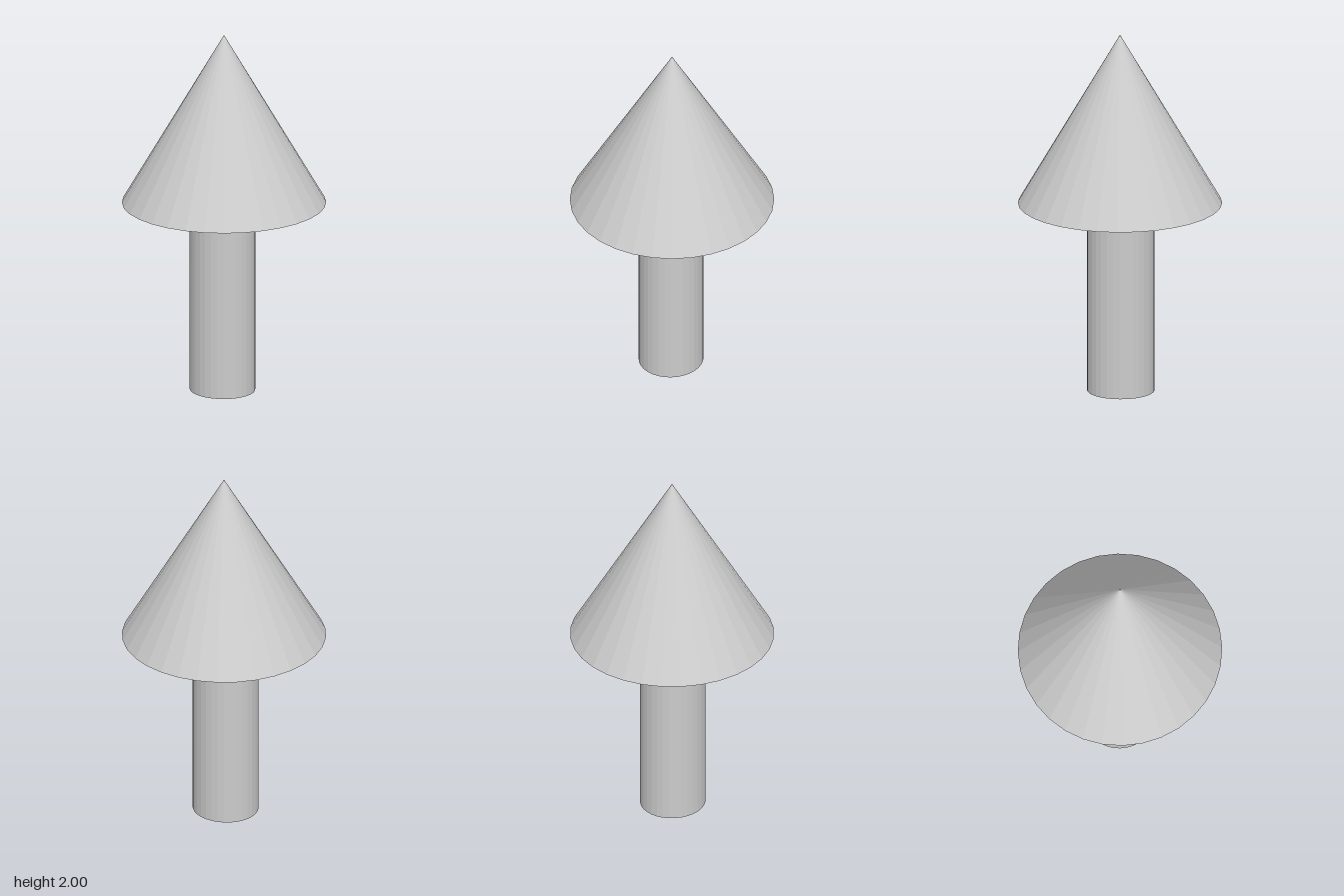
import * as THREE from 'three';

const SIDES = 32;
const BASE_Y = 1.055; // where the stem meets the cone

export function createModel() {
  const group = new THREE.Group();
  const material = new THREE.MeshStandardMaterial({ color: 0xcccccc, flatShading: true });

  // Pointed cap with a closed flat underside
  const capHeight = 2 - BASE_Y;
  const cap = new THREE.Mesh(new THREE.ConeGeometry(0.55, capHeight, SIDES), material);
  cap.name = 'coneCap';
  cap.position.y = BASE_Y + capHeight / 2;
  group.add(cap);

  // Round stem, slightly oval and a touch off centre
  const stem = new THREE.Mesh(new THREE.CylinderGeometry(1, 1, BASE_Y, SIDES), material);
  stem.name = 'stem';
  stem.scale.set(0.174, 1, 0.182);
  stem.position.set(-0.007, BASE_Y / 2, -0.004);
  group.add(stem);

  return group;
}
